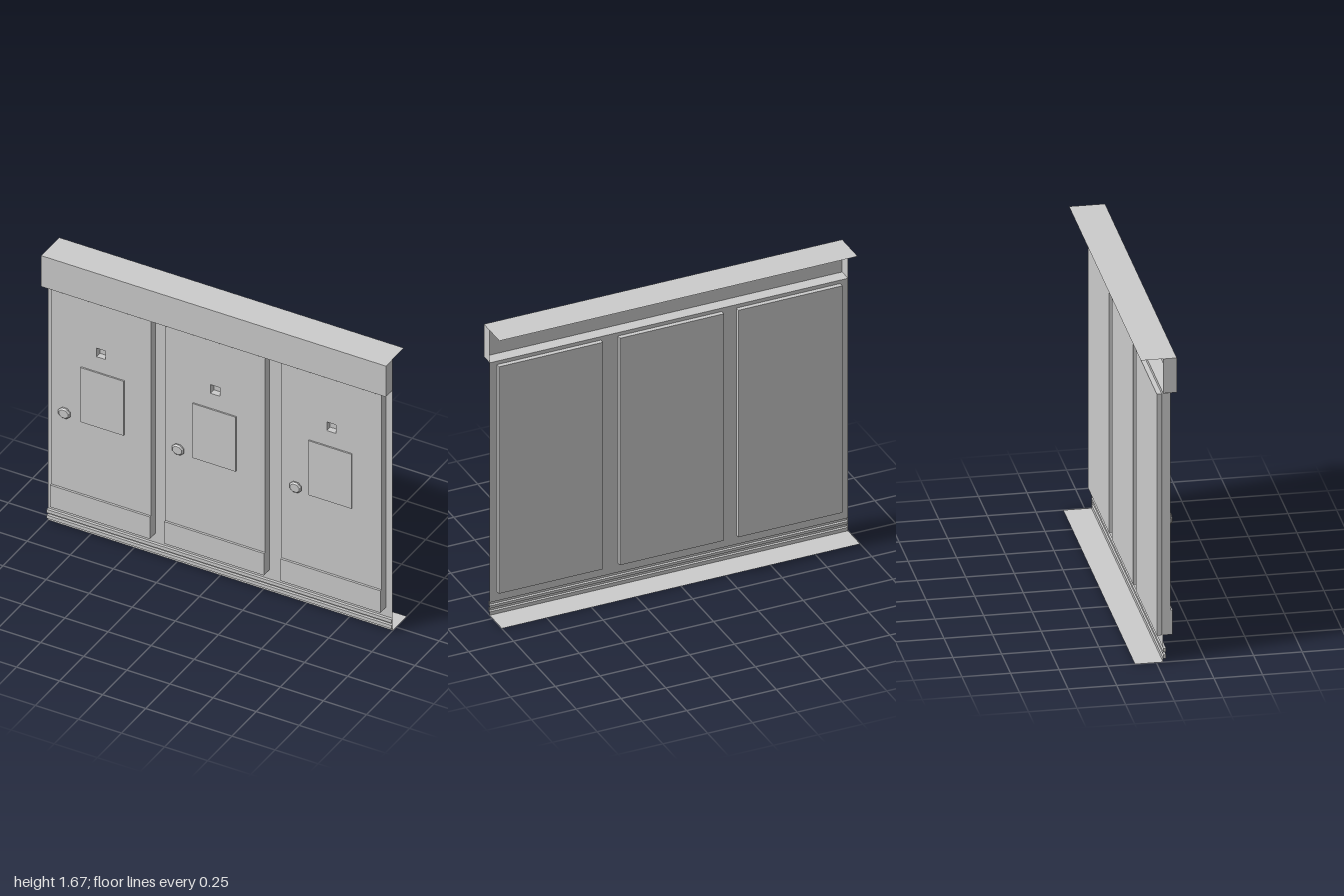
import * as THREE from 'three';

const grey = new THREE.MeshStandardMaterial({ color: 0xcccccc, flatShading: true });
const sheet = new THREE.MeshStandardMaterial({ color: 0xcccccc, flatShading: true, side: THREE.DoubleSide });

function add(parent, name, geometry, material = grey) {
  const mesh = new THREE.Mesh(geometry, material);
  mesh.name = name;
  parent.add(mesh);
  return mesh;
}

// Box given by its lower and upper corners
function box(parent, name, [x0, y0, z0], [x1, y1, z1]) {
  const g = new THREE.BoxGeometry(x1 - x0, y1 - y0, z1 - z0);
  g.translate((x0 + x1) / 2, (y0 + y1) / 2, (z0 + z1) / 2);
  return add(parent, name, g);
}

// Thin sheet: a [z, y] profile swept across x from -1 to 1
function sweep(profile) {
  const pos = [];
  for (let i = 0; i + 1 < profile.length; i++) {
    const [za, ya] = profile[i], [zb, yb] = profile[i + 1];
    pos.push(-1, ya, za, 1, ya, za, 1, yb, zb, -1, ya, za, 1, yb, zb, -1, yb, zb);
  }
  const g = new THREE.BufferGeometry();
  g.setAttribute('position', new THREE.Float32BufferAttribute(pos, 3));
  g.computeVertexNormals();
  return g;
}

function rectPath(path, x0, y0, x1, y1) {
  path.moveTo(x0, y0);
  path.lineTo(x1, y0);
  path.lineTo(x1, y1);
  path.lineTo(x0, y1);
  path.closePath();
  return path;
}

const WALL = 0.035, BACK = 0.01, FACE = 0.08;

// One door with kick plate, notice panel, peephole recess and knob
function makeDoor(x, panelX, knobX) {
  const door = new THREE.Group();
  door.name = 'door';
  const w = 0.58, y0 = 0.13, y1 = 1.46, mid = 0.045;
  box(door, 'doorBack', [0, y0, BACK], [w, y1, mid]);

  const shape = rectPath(new THREE.Shape(), 0, y0, w, y1);
  shape.holes.push(rectPath(new THREE.Path(), 0.263, 1.137, 0.317, 1.19));
  const front = new THREE.ExtrudeGeometry(shape, { depth: FACE - mid, bevelEnabled: false });
  add(door, 'doorFront', front.translate(0, 0, mid));

  box(door, 'kickPlate', [0, y0, FACE], [w, 0.265, 0.092]);
  box(door, 'noticePanel', [panelX, 0.71, FACE], [panelX + 0.25, 1.045, 0.088]);

  // Eight-sided knob with a bevelled face
  const profile = [[0, 0], [0.028, 0], [0.035, 0.006], [0.035, 0.014], [0.027, 0.021], [0, 0.021]];
  const knob = new THREE.LatheGeometry(profile.map(p => new THREE.Vector2(...p)), 8, Math.PI / 8);
  knob.rotateX(Math.PI / 2).scale(1.04, 0.93, 1);
  add(door, 'knob', knob).position.set(knobX, 0.735, FACE);

  door.position.x = x;
  return door;
}

export function createModel() {
  const model = new THREE.Group();
  model.name = 'doorWall';

  // Floor strip, base rails, wall, header and top strip in one folded sheet
  const rails = [[0.02, 0.04], [0.055, 0.075]];
  const railFace = 0.05, headFace = 0.105, headBottom = 1.48, top = 1.67;
  const profile = [[-0.11, 0], [WALL, 0]];
  for (const [a, b] of rails) profile.push([WALL, a], [railFace, a], [railFace, b], [WALL, b]);
  profile.push([WALL, headBottom], [headFace, headBottom], [headFace, top], [-0.08, top]);
  add(model, 'wallSheet', sweep(profile), sheet);

  // End caps of the rails and the header
  const caps = [...rails.map(r => [...r, railFace]), [headBottom, top, headFace]];
  for (const side of [-1, 1]) {
    for (const [a, b, z] of caps) {
      const cap = new THREE.PlaneGeometry(z - WALL, b - a).rotateY(side * Math.PI / 2);
      add(model, 'endCap', cap, sheet).position.set(side, (a + b) / 2, (z + WALL) / 2);
    }
  }

  // Three doors: left edge, panel offset, knob offset
  for (const d of [[-0.957, 0.175, 0.083], [-0.295, 0.163, 0.08], [0.38, 0.16, 0.087]]) {
    model.add(makeDoor(...d));
  }
  return model;
}
